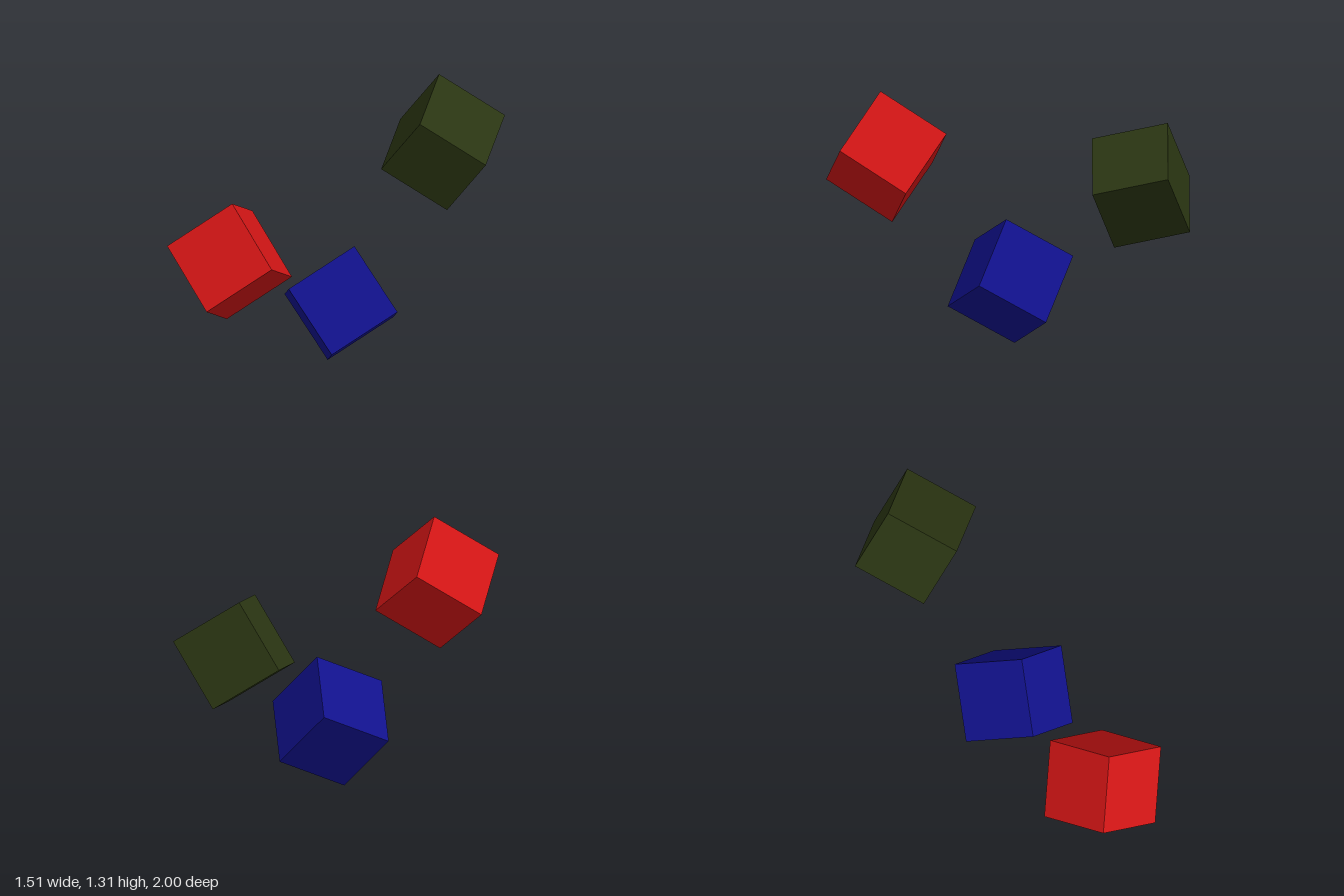
import * as THREE from 'three';

const SIZE = 0.415;

// Each cube: centre plus the directions of two of its edges
const CUBES = [
  { name: 'redCube', color: 0xd01515, center: [-0.444, 0.907, 0.676], u: [0.33, 0.23, -0.096], v: [0.244, -0.272, 0.198] },
  { name: 'blueCube', color: 0x11118c, center: [0.032, 0.355, -0.014], u: [0.32, 0.187, -0.19], v: [0.248, -0.304, 0.126] },
  { name: 'darkGreenCube', color: 0x2a3512, center: [0.452, 0.982, -0.734], u: [0.347, -0.225, -0.027], v: [-0.225, -0.338, -0.1] },
];

// Rotation whose x axis follows u and whose y axis lies nearest to v
function orientation(u, v) {
  const x = new THREE.Vector3(...u).normalize();
  const z = x.clone().cross(new THREE.Vector3(...v)).normalize();
  const y = z.clone().cross(x);
  return new THREE.Matrix4().makeBasis(x, y, z);
}

export function createModel() {
  const group = new THREE.Group();
  group.name = 'tumblingCubes';
  const geometry = new THREE.BoxGeometry(SIZE, SIZE, SIZE);

  // Three equal cubes, each floating at its own tilt
  for (const { name, color, center, u, v } of CUBES) {
    const cube = new THREE.Mesh(geometry, new THREE.MeshStandardMaterial({ color }));
    cube.name = name;
    cube.position.set(...center);
    cube.quaternion.setFromRotationMatrix(orientation(u, v));
    group.add(cube);
  }
  return group;
}
